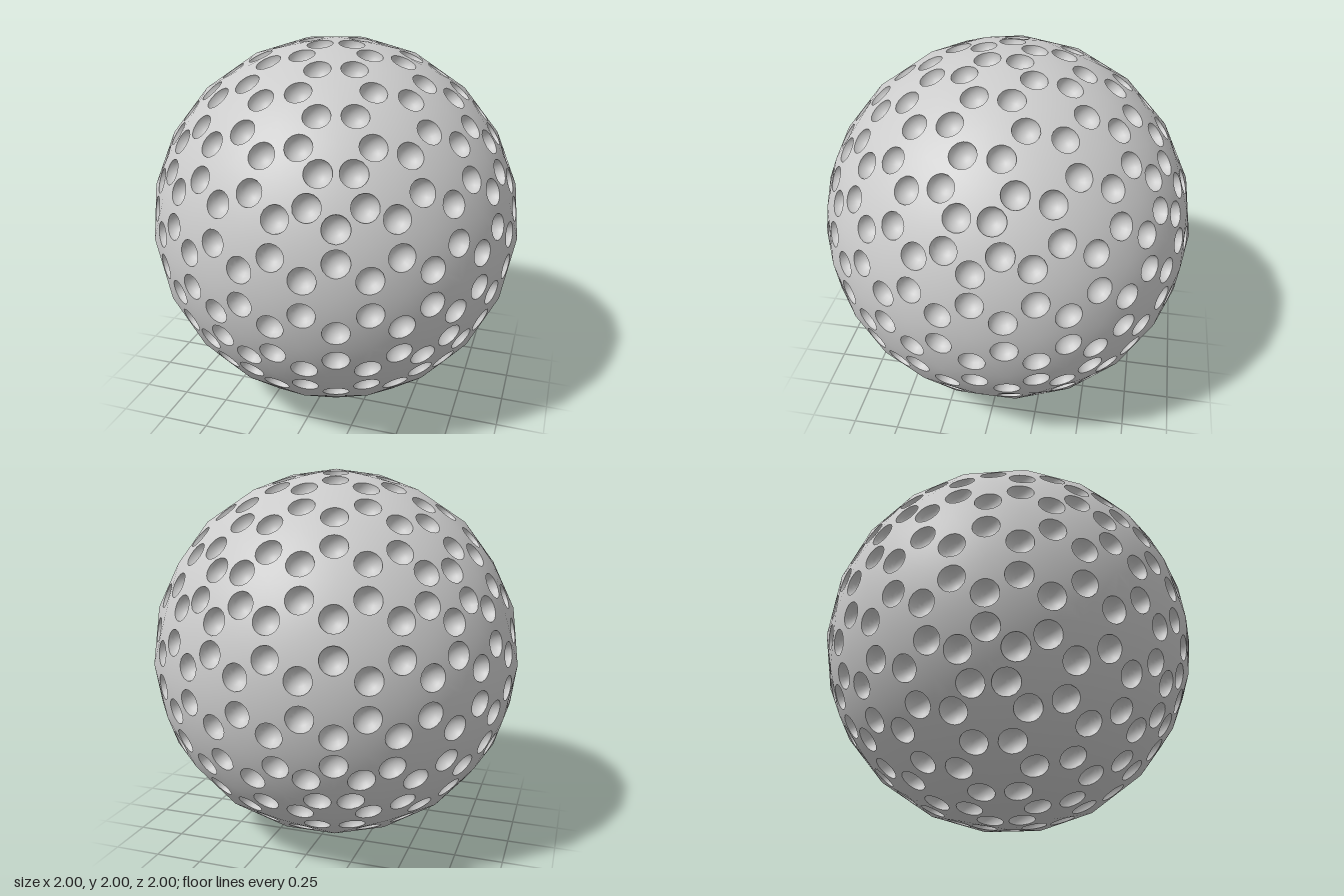
import * as THREE from 'three';

const HOLE = 0.066;    // dimple radius
const PER_EDGE = 8;    // rim points along each facet edge
const RINGS = 6;       // bowl rings from rim to bottom

// Collects closed loops of points into a smooth indexed surface
class Surface {
  constructor() { this.pos = []; this.nor = []; this.idx = []; }

  // Joins successive loops; inner loops follow outer ones, seen counter-clockwise
  loops(loops, normalAt) {
    const n = loops[0].length;
    const base = this.pos.length / 3;
    for (const loop of loops) {
      for (const p of loop) {
        this.pos.push(p.x, p.y, p.z);
        this.nor.push(...normalAt(p).toArray());
      }
    }
    for (let r = 0; r < loops.length - 1; r++) {
      for (let i = 0; i < n; i++) {
        const j = (i + 1) % n;
        const a = base + r * n + i, b = base + r * n + j;
        this.idx.push(a, b, b + n);
        if (!loops[r + 1].closed) this.idx.push(a, b + n, a + n);
      }
    }
  }

  mesh(name, material) {
    const g = new THREE.BufferGeometry();
    g.setAttribute('position', new THREE.Float32BufferAttribute(this.pos, 3));
    g.setAttribute('normal', new THREE.Float32BufferAttribute(this.nor, 3));
    g.setIndex(this.idx);
    const m = new THREE.Mesh(g, material);
    m.name = name;
    return m;
  }
}

export function createModel() {
  const group = new THREE.Group();
  group.name = 'dimpledBall';
  const material = new THREE.MeshStandardMaterial({ color: 0xcccccc });

  // 320 facets, with a five-fold corner at the top
  const base = new THREE.IcosahedronGeometry(1, 3);
  base.rotateZ(-Math.atan(2 / (1 + Math.sqrt(5))));
  const corners = base.getAttribute('position');

  const shell = new Surface();
  const bowls = new Surface();

  for (let f = 0; f < corners.count; f += 3) {
    const tri = [0, 1, 2].map(k => new THREE.Vector3().fromBufferAttribute(corners, f + k));
    const centre = new THREE.Vector3().add(tri[0]).add(tri[1]).add(tri[2]).divideScalar(3);
    const out = new THREE.Triangle(...tri).getNormal(new THREE.Vector3());

    // Facet outline and the directions from its centre to each point
    const outline = [];
    for (let k = 0; k < 3; k++) {
      for (let i = 0; i < PER_EDGE; i++) {
        outline.push(tri[k].clone().lerp(tri[(k + 1) % 3], i / PER_EDGE));
      }
    }
    const dirs = outline.map(p => p.clone().sub(centre).normalize());

    // Loop of the hemispherical bowl at an angle below the rim
    const ring = angle => dirs.map(d => centre.clone()
      .addScaledVector(d, HOLE * Math.cos(angle))
      .addScaledVector(out, -HOLE * Math.sin(angle)));

    // Outer skin around the round hole
    shell.loops([outline, ring(0)], p => p.clone().normalize());

    // Bowl sunk into the facet
    const rows = [];
    for (let r = 0; r <= RINGS; r++) rows.push(ring((r / RINGS) * Math.PI / 2));
    rows[RINGS].closed = true;
    bowls.loops(rows, p => centre.clone().sub(p).normalize());
  }

  group.add(shell.mesh('outerShell', material), bowls.mesh('dimples', material));
  for (const part of group.children) part.position.y = 1;
  return group;
}
